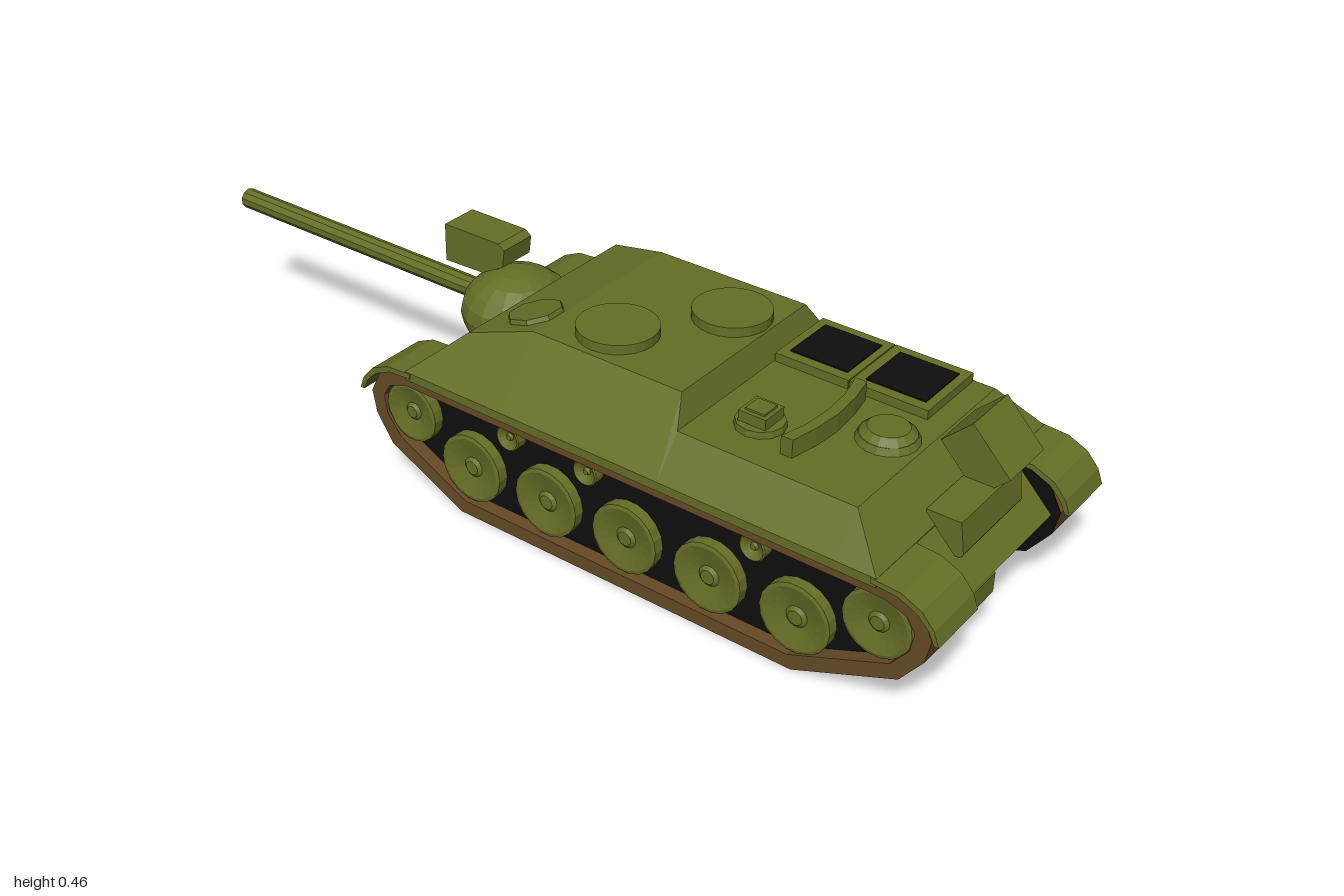
import * as THREE from 'three';

const mat = (name, color) => {
  const m = new THREE.MeshStandardMaterial({ color, flatShading: true });
  m.name = name;
  return m;
};

export function createModel() {
  const olive = mat('olive', 0x666e26);
  const brown = mat('track brown', 0x664a26);
  const black = mat('black', 0x0e0e0e);
  const model = new THREE.Group();

  const add = (name, geo, material, x = 0, y = 0, z = 0, rx = 0) => {
    const m = new THREE.Mesh(geo, material);
    m.name = name;
    m.position.set(x, y, z);
    m.rotation.x = rx;
    model.add(m);
    return m;
  };
  const box = (name, material, w, h, d, x, y, z, rx) =>
    add(name, new THREE.BoxGeometry(w, h, d), material, x, y, z, rx);
  const drum = (name, rTop, rBottom, h, sides, x, y, z, rx) =>
    add(name, new THREE.CylinderGeometry(rTop, rBottom, h, sides), olive, x, y, z, rx);
  const vecs = pts => pts.map(p => new THREE.Vector2(p[0], p[1]));

  // Side profile of [z, y] points, extruded from x0 to x1
  const slab = (name, material, pts, x0, x1, hole) => {
    const shape = new THREE.Shape(vecs(pts));
    if (hole) shape.holes.push(new THREE.Path(vecs(hole)));
    const g = new THREE.ExtrudeGeometry(shape, { depth: x1 - x0, bevelEnabled: false });
    g.rotateY(-Math.PI / 2);
    g.translate(x1, 0, 0);
    return add(name, g, material);
  };

  // Upper hull: cross-sections of z, roof half width, roof height
  const W = 0.305, EDGE = 0.287, SKIRT = 0.268;
  const stations = [
    [-0.21, W, EDGE], [-0.1, 0.235, 0.384], [0.04, 0.206, 0.424], [0.39, 0.206, 0.424],
    [0.41, 0.245, 0.367], [0.79, 0.245, 0.366], [0.87, W, EDGE],
  ];
  const verts = [], idx = [], N = 6;
  for (const [z, w, y] of stations)
    verts.push(-W, SKIRT, z, -W, EDGE, z, -w, y, z, w, y, z, W, EDGE, z, W, SKIRT, z);
  for (let s = 0; s < stations.length - 1; s++)
    for (let i = 0; i < N; i++) {
      const a = s * N + i, b = s * N + (i + 1) % N;
      idx.push(a, a + N, b, b, a + N, b + N);
    }
  const last = (stations.length - 1) * N;
  for (let i = 1; i < N - 1; i++) {
    idx.push(0, i, i + 1);
    idx.push(last, last + i + 1, last + i);
  }
  let hull = new THREE.BufferGeometry();
  hull.setAttribute('position', new THREE.Float32BufferAttribute(verts, 3));
  hull.setIndex(idx);
  hull = hull.toNonIndexed();
  hull.computeVertexNormals();
  add('upperHull', hull, olive);

  // Lower hull with sloped nose and tail
  slab('lowerHull', olive, [
    [-0.2, 0.104], [0.87, 0.104], [0.963, 0.19], [0.87, 0.285], [0.8, 0.34],
    [-0.1, 0.34], [-0.21, 0.285], [-0.3, 0.207],
  ], -0.18, 0.18);

  // Running gear on both sides
  const trackOuter = [
    [-0.08, 0], [0.71, 0], [0.925, 0.09], [0.97, 0.15], [0.98, 0.2], [0.955, 0.25],
    [0.89, 0.277], [-0.225, 0.277], [-0.29, 0.25], [-0.315, 0.2], [-0.305, 0.15], [-0.265, 0.09],
  ];
  const trackInner = [
    [-0.07, 0.03], [0.7, 0.03], [0.905, 0.115], [0.94, 0.16], [0.947, 0.2], [0.93, 0.228],
    [0.885, 0.245], [-0.22, 0.245], [-0.265, 0.228], [-0.282, 0.2], [-0.275, 0.16], [-0.24, 0.115],
  ];
  const fenderProfile = [
    [0.86, 0.287], [0.92, 0.283], [0.962, 0.264], [0.988, 0.235], [1, 0.205],
    [0.99, 0.205], [0.978, 0.23], [0.954, 0.254], [0.915, 0.272], [0.86, 0.276],
  ];
  const wheels = [[0.87, 0.18, 0.07], [-0.215, 0.18, 0.065]];
  for (let i = 0; i < 5; i++) wheels.push([0.706 - i * 0.191, 0.11, 0.075]);
  for (const z of [0.61, 0.23, 0.04]) wheels.push([z, 0.222, 0.028]);

  for (const s of [1, -1]) {
    const span = (a, b) => (s > 0 ? [a, b] : [-b, -a]);
    slab('track', brown, trackOuter, ...span(0.18, 0.295), trackInner);
    slab('trackInterior', black, trackInner, ...span(0.181, 0.265));
    slab('trackInnerFace', black, trackOuter, ...span(0.177, 0.1805));
    slab('rearFender', olive, fenderProfile, ...span(0.173, 0.308));
    slab('frontFender', olive, fenderProfile.map(([z, y]) => [0.665 - z, y]), ...span(0.173, 0.308));
    for (const [z, y, r] of wheels) {
      // Dished wheel with a small hub
      const g = new THREE.LatheGeometry(vecs([
        [r, 0], [r, 0.03], [r * 0.9, 0.032], [r * 0.3, 0.022], [r * 0.2, 0.028], [0, 0.028],
      ]), 18);
      add('wheel', g, olive, s * 0.258, y, z).rotation.z = -s * Math.PI / 2;
    }
  }

  // Gun
  add('mantlet', new THREE.SphereGeometry(1, 16, 10), olive, 0.02, 0.295, -0.19).scale.set(0.12, 0.09, 0.12);
  drum('barrel', 0.023, 0.023, 0.75, 10, 0.019, 0.302, -0.623, Math.PI / 2);
  add('muzzleBore', new THREE.CylinderGeometry(0.021, 0.021, 0.002, 10), black, 0.019, 0.302, -0.999, Math.PI / 2);

  // Searchlight above the gun
  slab('searchlight', olive, [
    [-0.35, 0.372], [-0.25, 0.375], [-0.195, 0.405], [-0.19, 0.445], [-0.205, 0.456], [-0.35, 0.456],
  ], -0.021, 0.065);
  box('searchlightLens', black, 0.05, 0.05, 0.004, 0.022, 0.414, -0.351);
  box('searchlightPost', olive, 0.035, 0.06, 0.04, 0.022, 0.36, -0.25);

  // Roof hatches and driver's hatch
  drum('roofHatch', 0.082, 0.082, 0.034, 24, -0.11, 0.427, 0.17);
  drum('roofHatch', 0.08, 0.08, 0.034, 24, 0.077, 0.427, 0.305);
  const driver = new THREE.CylinderGeometry(0.056, 0.062, 0.022, 8);
  driver.rotateY(Math.PI / 8);
  add('driverHatch', driver, olive, -0.13, 0.407, -0.015, -0.278);

  // Engine deck grilles
  for (const [z, d] of [[0.493, 0.163], [0.661, 0.168]]) {
    box('grilleFrame', olive, 0.17, 0.025, d, 0.155, 0.373, z);
    box('grille', black, 0.125, 0.004, 0.128, 0.155, 0.3865, z + 0.002);
  }

  // Engine deck fittings
  drum('ventBase', 0.055, 0.062, 0.016, 18, -0.028, 0.372, 0.72);
  drum('ventCap', 0.04, 0.055, 0.014, 18, -0.028, 0.386, 0.72);
  drum('periscopeBase', 0.048, 0.05, 0.016, 12, -0.133, 0.372, 0.515);
  box('periscope', olive, 0.06, 0.036, 0.06, -0.133, 0.384, 0.515);
  box('periscopeLid', olive, 0.042, 0.006, 0.042, -0.133, 0.403, 0.515);

  // Curved splash guard
  const arc = new THREE.Shape(vecs([
    [-0.19, 0.595], [-0.13, 0.61], [-0.065, 0.614], [0, 0.61], [0.06, 0.595],
    [0.06, 0.62], [0, 0.632], [-0.065, 0.637], [-0.13, 0.632], [-0.19, 0.62],
  ]));
  const guard = new THREE.ExtrudeGeometry(arc, { depth: 0.045, bevelEnabled: false });
  guard.rotateX(Math.PI / 2);
  add('splashGuard', guard, olive, 0, 0.405, 0);

  // Stowage on the tail
  box('tiltedStowageBox', olive, 0.127, 0.083, 0.12, 0.087, 0.355, 0.87, 0.8);
  slab('stowageBin', olive, [
    [0.85, 0.24], [0.925, 0.24], [0.93, 0.25], [0.92, 0.313], [0.85, 0.313],
  ], -0.107, 0.111);
  const tow = new THREE.CylinderGeometry(0.55, 0.707, 1, 4);
  tow.rotateY(Math.PI / 4);
  tow.rotateX(Math.PI / 2);
  add('tailBracket', tow, olive, -0.058, 0.145, 0.923).scale.set(0.114, 0.056, 0.06);

  return model;
}
